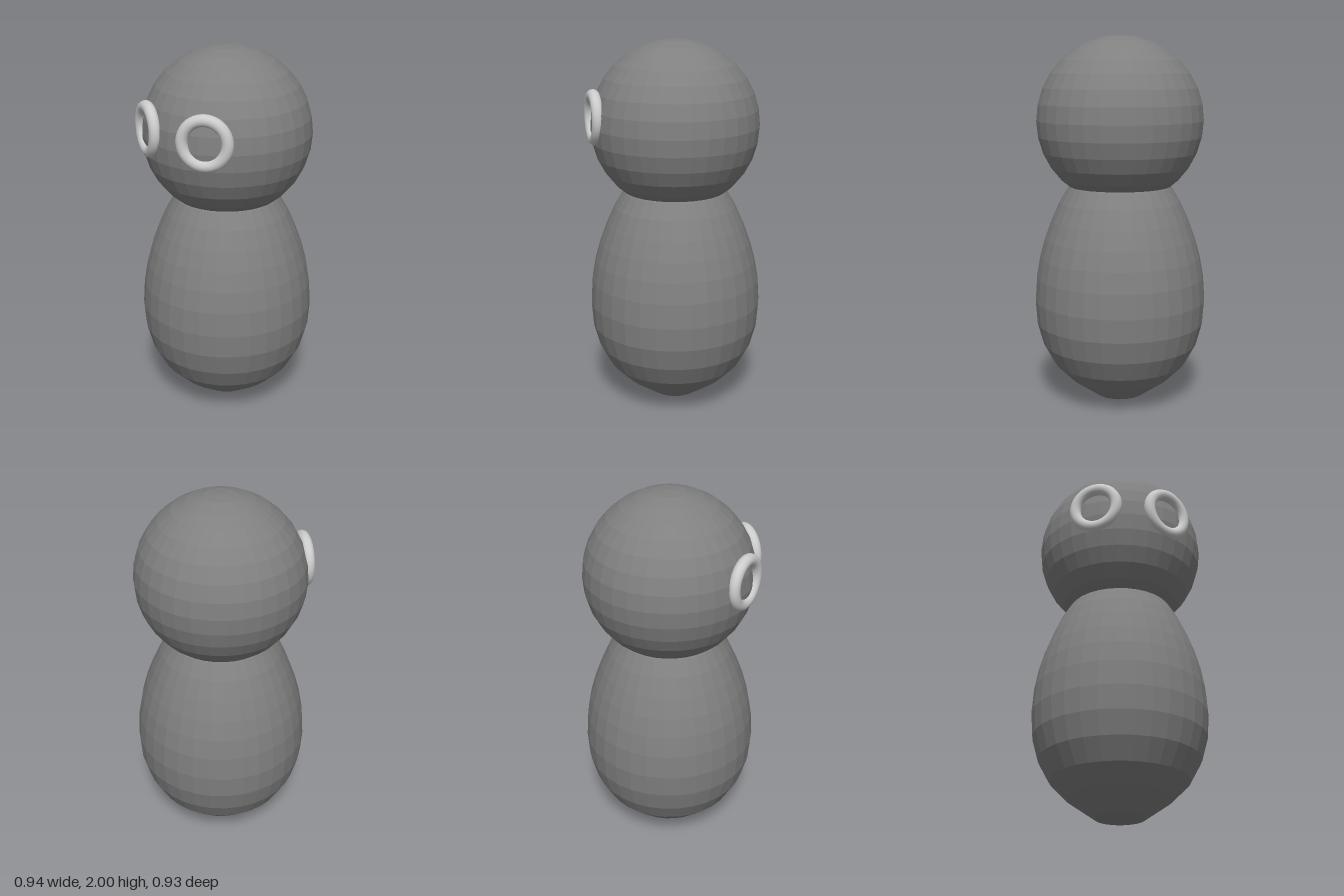
import * as THREE from 'three';

export function createModel() {
  const model = new THREE.Group();
  const dark = new THREE.MeshStandardMaterial({ color: 0x808080, flatShading: true });
  const light = new THREE.MeshStandardMaterial({ color: 0xcccccc });

  const add = (name, geometry, material, x, y, z) => {
    const mesh = new THREE.Mesh(geometry, material);
    mesh.name = name;
    mesh.position.set(x, y, z);
    model.add(mesh);
    return mesh;
  };

  // Pear-shaped body, its narrow top ending inside the head
  const profile = [
    [0, 0], [0.13, 0.025], [0.275, 0.125], [0.365, 0.215], [0.425, 0.325],
    [0.458, 0.445], [0.467, 0.57], [0.458, 0.7], [0.438, 0.81], [0.41, 0.91],
    [0.373, 1.01], [0.328, 1.11], [0.28, 1.19], [0.2, 1.28], [0, 1.34],
  ].map(([r, y]) => new THREE.Vector2(r, y));
  add('body', new THREE.LatheGeometry(profile, 32), dark, 0, 0, 0);

  // Round faceted head
  add('head', new THREE.SphereGeometry(0.45, 32, 16), dark, 0, 1.55, 0);

  // Pair of smooth eye rings on the -x side of the head
  const ring = new THREE.TorusGeometry(0.115, 0.031, 16, 48);
  for (const s of [1, -1]) {
    const eye = add(s > 0 ? 'leftEyeRing' : 'rightEyeRing', ring, light, -0.389, 1.605, s * 0.193);
    eye.rotation.y = Math.atan2(-0.89, s * 0.455); // ring axis points outward
  }

  return model;
}
